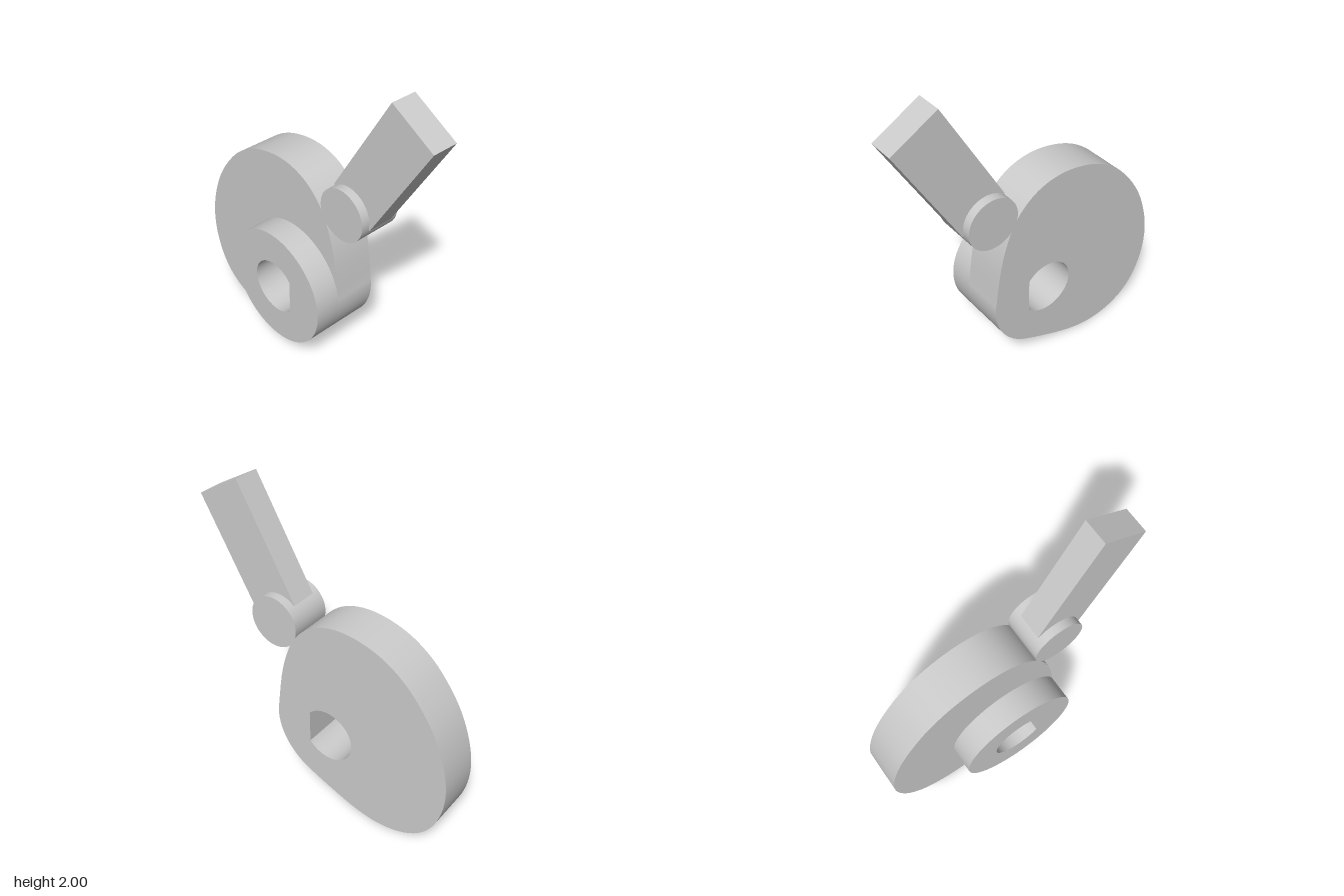
import * as THREE from 'three';
import { toCreasedNormals } from 'three/addons/utils/BufferGeometryUtils.js';

const material = new THREE.MeshStandardMaterial({ color: 0xcccccc });
const CX = -0.059, CY = 0.515, HUB_R = 0.391; // shaft axis and hub radius
const BACK = -0.223, FACE = 0.055, HUB_FACE = 0.223; // depth planes

// D-shaped shaft bore with its flat on the +x side
function bore() {
  const a = Math.acos(0.138 / 0.178);
  const path = new THREE.Path();
  path.absarc(CX, CY, 0.178, a, Math.PI * 2 - a, false);
  path.closePath();
  return path;
}

function extrude(name, shape, z0, z1) {
  const geometry = new THREE.ExtrudeGeometry(shape, { depth: z1 - z0, bevelEnabled: false, curveSegments: 64 });
  geometry.translate(0, 0, z0);
  const mesh = new THREE.Mesh(toCreasedNormals(geometry, 0.5), material);
  mesh.name = name;
  return mesh;
}

// Cam outline: base arc shared with the hub, then the raised lobe
function camShape() {
  const points = [];
  for (let deg = -68; deg <= 12; deg += 10) {
    const a = THREE.MathUtils.degToRad(deg);
    points.push(new THREE.Vector3(CX + HUB_R * Math.cos(a), CY + HUB_R * Math.sin(a), 0));
  }
  const lobe = [
    [0.288, 0.836], [0.25, 0.979], [0.198, 1.105], [0.129, 1.2], [0.037, 1.273],
    [-0.069, 1.315], [-0.19, 1.328], [-0.333, 1.308], [-0.466, 1.258], [-0.598, 1.166],
    [-0.704, 1.048], [-0.782, 0.931], [-0.838, 0.81], [-0.884, 0.65], [-0.898, 0.503],
    [-0.878, 0.35], [-0.82, 0.204], [-0.73, 0.097], [-0.598, 0.026], [-0.435, 0],
    [-0.28, 0.02], [-0.12, 0.07],
  ];
  for (const [x, y] of lobe) points.push(new THREE.Vector3(x, y, 0));
  const curve = new THREE.CatmullRomCurve3(points, true, 'centripetal');
  const outline = curve.getPoints(180).slice(0, -1);
  return new THREE.Shape(outline.map((p) => new THREE.Vector2(p.x, p.y)));
}

export function createModel() {
  const group = new THREE.Group();
  group.name = 'camAndFollower';

  // Cam plate
  const cam = camShape();
  cam.holes.push(bore());
  group.add(extrude('camPlate', cam, BACK, FACE));

  // Round hub on the front face
  const hub = new THREE.Shape();
  hub.absarc(CX, CY, HUB_R, 0, Math.PI * 2, false);
  hub.holes.push(bore());
  group.add(extrude('hub', hub, FACE, HUB_FACE));

  // Follower roller resting on the cam
  const rollerGeometry = new THREE.CylinderGeometry(0.167, 0.167, FACE - BACK, 64);
  rollerGeometry.rotateX(Math.PI / 2);
  const roller = new THREE.Mesh(rollerGeometry, material);
  roller.name = 'followerRoller';
  roller.position.set(0.333, 1.193, (FACE + BACK) / 2);
  group.add(roller);

  // Follower bar, leaning 30 degrees from vertical
  const bar = new THREE.Mesh(new THREE.BoxGeometry(0.334, 0.782, 0.167), material);
  bar.name = 'followerBar';
  bar.position.set(0.555, 1.578, -0.0835);
  bar.rotation.z = -Math.PI / 6;
  group.add(bar);

  return group;
}
